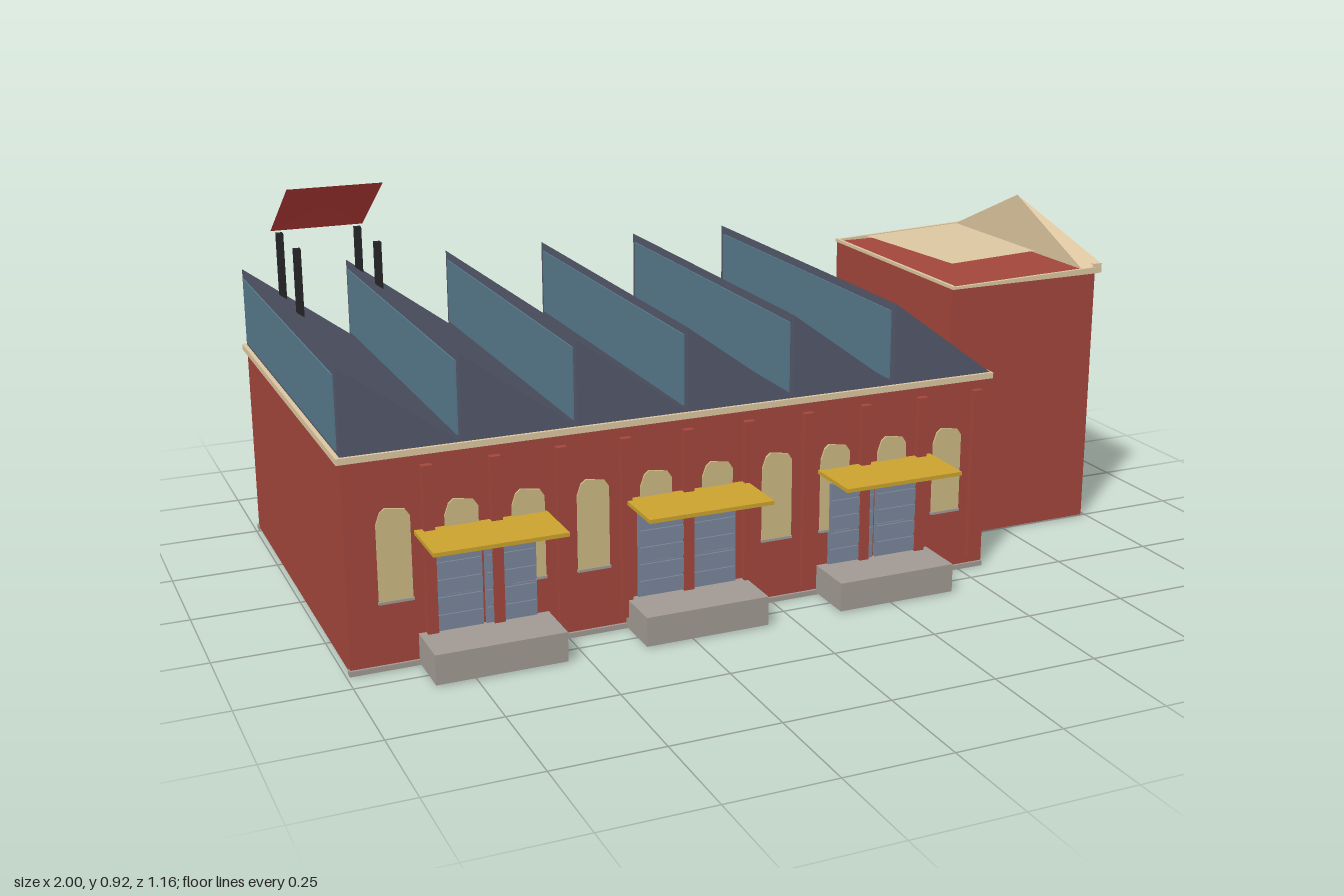
import * as THREE from 'three';

const mat = (name, color, side = THREE.FrontSide) => {
  const m = new THREE.MeshStandardMaterial({ color, side });
  m.name = name;
  return m;
};

export function createModel() {
  const model = new THREE.Group();
  model.name = 'factory';

  const brick = mat('brick', 0xa2463b);
  const slate = mat('slate roof', 0x53586a);
  const glass = mat('roof glass', 0x56798a);
  const cream = mat('cream trim', 0xdcc6a0, THREE.DoubleSide);
  const pane = mat('window pane', 0xcbb883);
  const yellow = mat('yellow', 0xcba22f);
  const concrete = mat('concrete', 0xa19a93);
  const steel = mat('door steel', 0x78859a);
  const black = mat('black metal', 0x262628);
  const red = mat('red panel', 0xc23f3c, THREE.DoubleSide);

  const add = (name, geometry, material, parent = model) => {
    const mesh = new THREE.Mesh(geometry, material);
    mesh.name = name;
    parent.add(mesh);
    return mesh;
  };
  // Box given by its lower and upper limits on each axis
  const box = (name, material, x0, x1, y0, y1, z0, z1, parent = model) => {
    const mesh = add(name, new THREE.BoxGeometry(x1 - x0, y1 - y0, z1 - z0), material, parent);
    mesh.position.set((x0 + x1) / 2, (y0 + y1) / 2, (z0 + z1) / 2);
    return mesh;
  };
  // Thin plate cut from an outline, standing in the xy plane
  const plate = (points, depth) => new THREE.ExtrudeGeometry(
    new THREE.Shape(points.map(([x, y]) => new THREE.Vector2(x, y))),
    { depth, bevelEnabled: false });
  const faces = (points, index) => {
    const g = new THREE.BufferGeometry();
    g.setAttribute('position', new THREE.Float32BufferAttribute(points.flat(), 3));
    g.setIndex(index);
    const flat = g.toNonIndexed();
    flat.computeVertexNormals();
    return flat;
  };

  // Main hall
  const front = 0.437, back = -0.517;
  box('hall', brick, -0.99, 0.565, 0.005, 0.476, back, front);
  box('hallPlinthFront', concrete, -0.993, 0.565, 0, 0.012, front - 0.01, front + 0.006);
  box('hallPlinthBack', concrete, -0.993, 0.565, 0, 0.012, back - 0.006, back + 0.01);
  box('hallCornice', cream, -1, 0.572, 0.474, 0.488, -0.527, 0.447);

  // Saw-tooth roof, each tooth with a glazed upright face
  for (let i = 0; i < 6; i++) {
    const x = -0.99 + i * 0.2595;
    const tooth = add('roofTooth', plate([[0, 0], [0.2595, 0], [0, 0.192]], 0.957), slate);
    tooth.position.set(x, 0.488, -0.518);
    box('roofGlass', glass, x - 0.003, x + 0.001, 0.497, 0.66, -0.5, 0.42);
  }

  // Pilasters and windows along both long walls
  const windowShape = [[-0.037, 0], [0.037, 0], [0.037, 0.185], [0.027, 0.2],
    [-0.017, 0.207], [-0.028, 0.198], [-0.037, 0.172]];
  for (const side of [1, -1]) {
    const wall = new THREE.Group();
    wall.name = side > 0 ? 'frontWall' : 'backWall';
    wall.position.set(0, 0, side > 0 ? front : back);
    wall.scale.z = side;
    model.add(wall);
    for (let i = 0; i < 10; i++) {
      const x = -0.885 + i * 0.149;
      const px = x + 0.075;
      box('pilaster', brick, px - 0.012, px + 0.012, 0.03, 0.45, 0, 0.016, wall);
      const w = add('window', plate(windowShape, 0.005), pane, wall);
      w.position.set(x, 0.158, 0);
      box('windowSill', concrete, x - 0.039, x + 0.039, 0.152, 0.158, 0, 0.007, wall);
    }
  }

  // Loading bays: slatted doors, dock and awning
  for (const x of [-0.692, -0.215, 0.263]) {
    const bay = new THREE.Group();
    bay.name = 'loadingBay';
    bay.position.x = x;
    model.add(bay);
    for (const s of [-1, 1]) {
      const c = s * 0.061;
      box('door', steel, c - 0.058, c + 0.058, 0.06, 0.27, front, front + 0.007, bay);
      for (let k = 0; k < 5; k++) {
        const y = 0.075 + k * 0.04;
        box('doorSlat', steel, c - 0.055, c + 0.055, y, y + 0.033, front, front + 0.011, bay);
      }
    }
    box('dock', concrete, -0.147, 0.147, 0.003, 0.071, front, 0.56, bay);
    box('awning', yellow, -0.148, 0.148, 0.297, 0.306, front, 0.582, bay);
  }

  // Spouts on the back wall
  for (let i = 0; i < 6; i++) {
    const x = -0.872 + i * 0.2635;
    box('spout', black, x - 0.006, x + 0.006, 0.38, 0.391, -0.58, back);
  }

  // Office tower
  box('tower', brick, 0.567, 0.983, 0.005, 0.65, -0.335, 0.257);
  box('towerCornerTrim', cream, 0.566, 0.574, 0.648, 0.656, -0.342, 0.265);

  // Sloping parapet: low at the hall, higher toward the gable
  const parapet = (z, rise) => {
    const p = add('towerParapet', plate(
      [[0.567, 0.648], [0.985, 0.65], [0.992, 0.66 + rise], [0.567, 0.654]], 0.008), cream);
    p.position.z = z;
  };
  parapet(0.256, 0.006);
  parapet(-0.345, 0.012);

  // Gable leaning back over the outer face
  add('towerGable', faces(
    [[1, 0.672, 0.262], [1, 0.672, -0.347], [0.94, 0.8, -0.04],
      [0.94, 0.664, 0.262], [0.94, 0.664, -0.347]],
    [0, 1, 2, 0, 2, 3, 1, 4, 2, 3, 2, 4, 0, 3, 4, 0, 4, 1]), cream);
  box('gableBand', cream, 0.975, 0.999, 0.65, 0.674, -0.347, 0.262);

  // Partial roof sheet behind the gable
  add('towerRoofSheet', faces(
    [[0.94, 0.668, 0.05], [0.69, 0.658, 0.055], [0.657, 0.656, -0.35],
      [0.94, 0.668, -0.35], [0.8, 0.662, -0.35], [0.725, 0.659, 0]],
    [0, 5, 1, 1, 5, 2, 2, 5, 4, 0, 3, 5, 5, 3, 4]), cream);

  // Tower windows and sign band
  for (const z of [0.122, -0.04, -0.202]) {
    for (const y of [0.132, 0.281, 0.432]) {
      box('towerWindowFrame', concrete, 0.983, 0.986, y - 0.002, y + 0.096, z - 0.034, z + 0.034);
      box('towerWindow', pane, 0.984, 0.988, y, y + 0.094, z - 0.031, z + 0.031);
      box('towerWindowSill', concrete, 0.983, 0.993, y - 0.006, y, z - 0.036, z + 0.036);
    }
  }
  box('signBand', yellow, 0.983, 0.998, 0.559, 0.594, -0.237, 0.157);

  // Tilted rooftop panel on four posts
  for (const x of [-0.91, -0.718]) {
    for (const z of [-0.243, -0.434]) {
      box('panelPost', black, x - 0.008, x + 0.008, x < -0.8 ? 0.6 : 0.64, 0.78, z - 0.008, z + 0.008);
    }
  }
  add('rooftopPanel', faces(
    [[-0.927, 0.922, -0.235], [-0.7, 0.922, -0.235], [-0.7, 0.782, -0.455],
      [-0.927, 0.782, -0.455], [-0.813, 0.856, -0.345]],
    [0, 4, 1, 1, 4, 2, 2, 4, 3, 3, 4, 0].reverse()), red);

  return model;
}
